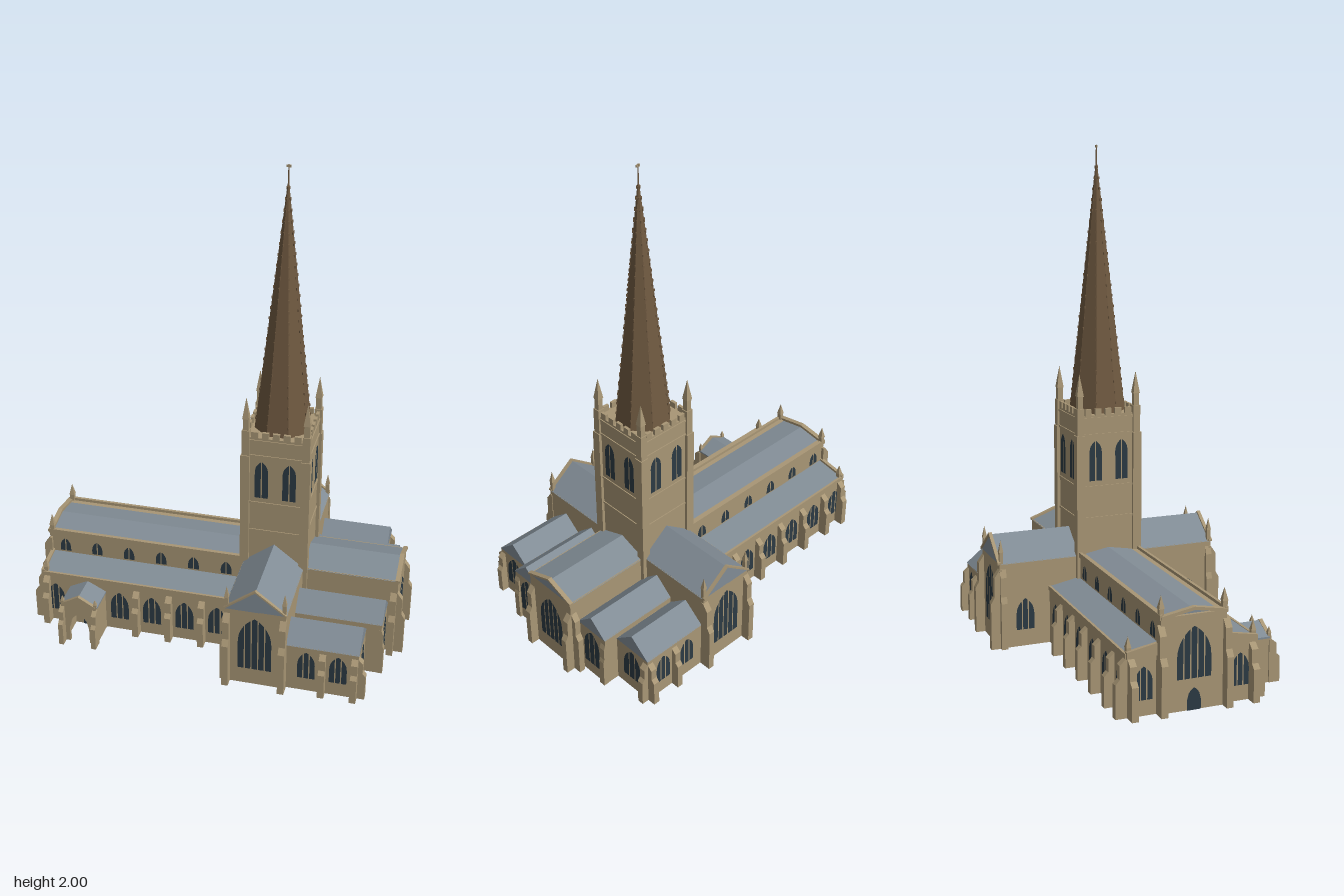
import * as THREE from 'three';

const mat = (name, color, side = THREE.FrontSide) => {
  const m = new THREE.MeshStandardMaterial({ color, side });
  m.name = name;
  return m;
};

export function createModel() {
  const stone = mat('stone', 0xa89675);
  const slate = mat('slate', 0x818c95);
  const spireBrown = mat('spireBrown', 0x705a41);
  const glass = mat('glass', 0x2c3a44, THREE.DoubleSide);

  // Local axes: x runs west to east, z to the south, tower at the origin
  const church = new THREE.Group();
  church.name = 'church';
  const HALF = Math.PI / 2;
  const S = 0, E = HALF, N = Math.PI, W = -HALF; // facing directions

  const add = (name, geo, m, x = 0, y = 0, z = 0, ry = 0) => {
    const mesh = new THREE.Mesh(geo, m);
    mesh.name = name;
    mesh.position.set(x, y, z);
    mesh.rotation.y = ry;
    church.add(mesh);
    return mesh;
  };
  const block = (name, x0, x1, y0, y1, z0, z1, m = stone) =>
    add(name, new THREE.BoxGeometry(x1 - x0, y1 - y0, z1 - z0), m, (x0 + x1) / 2, (y0 + y1) / 2, (z0 + z1) / 2);
  const shapeOf = pts => new THREE.Shape(pts.map(p => new THREE.Vector2(p[0], p[1])));
  const extrude = (pts, depth) => new THREE.ExtrudeGeometry(shapeOf(pts), { depth, bevelEnabled: false });
  // Cross-section given as (z, y), swept from x0 to x1
  const sweepX = (name, pts, x0, x1, m) =>
    add(name, extrude(pts.map(([z, y]) => [-z, y]), x1 - x0).rotateY(HALF), m, x0);
  // Cross-section given as (x, y), swept from z0 to z1
  const sweepZ = (name, pts, z0, z1, m) => add(name, extrude(pts, z1 - z0), m, 0, 0, z0);
  const gable = (c, half, eaves, ridge) => [[c - half, eaves], [c + half, eaves], [c, ridge]];
  // Thin raked strip following a gable
  const rake = (c, half, eaves, ridge, t) => [
    [c - half, eaves], [c, ridge], [c + half, eaves], [c + half, eaves + t], [c, ridge + t], [c - half, eaves + t]];

  // Pointed-arch window: dark lights separated by stone mullions
  const archRise = (x, a) => Math.sqrt(Math.max(0, 4 * a * a - (Math.abs(x) + a) ** 2));
  const window_ = (name, x, z, dir, y0, y1, width, lights) => {
    const a = width / 2, spring = y1 - a * Math.sqrt(3), pitch = width / lights, gap = 0.005;
    const shapes = [];
    for (let i = 0; i < lights; i++) {
      const l = -a + i * pitch + (i ? gap / 2 : 0);
      const r = -a + (i + 1) * pitch - (i < lights - 1 ? gap / 2 : 0);
      const pts = [[l, y0], [r, y0]];
      for (let k = 0; k <= 8; k++) {
        const px = r + (l - r) * k / 8;
        pts.push([px, spring + archRise(px, a) + (k === 0 || k === 8 ? 0.0005 : 0)]);
      }
      shapes.push(shapeOf(pts));
    }
    add(name, new THREE.ShapeGeometry(shapes), glass, x + Math.sin(dir) * 0.003, 0, z + Math.cos(dir) * 0.003, dir);
  };

  // Stepped buttress with sloping tops
  const buttress = (x, z, dir, h, d = 0.04, width = 0.026) => {
    const pts = [[-0.01, 0], [d, 0], [d, h * 0.58], [d * 0.6, h * 0.66], [d * 0.6, h * 0.9], [0, h], [-0.01, h]];
    add('buttress', extrude(pts, width).translate(0, 0, -width / 2).rotateY(-HALF), stone, x, 0, z, dir);
  };
  const pinnacle = (x, z, y0, shaft, cone, r) => {
    add('pinnacleShaft', new THREE.BoxGeometry(r * 1.5, shaft, r * 1.5), stone, x, y0 + shaft / 2, z);
    add('pinnacleTip', new THREE.ConeGeometry(r * 1.3, cone, 4).rotateY(Math.PI / 4).toNonIndexed(), stone,
      x, y0 + shaft + cone / 2, z).geometry.computeVertexNormals();
  };

  // Nave and aisles
  block('naveWalls', -0.968, -0.1, 0, 0.358, -0.128, 0.128);
  sweepX('naveRoof', gable(0, 0.124, 0.354, 0.376), -0.955, -0.1, slate);
  sweepX('westCoping', rake(0, 0.13, 0.352, 0.375, 0.012), -0.975, -0.955, stone);
  block('aisleWalls', -0.955, -0.1, 0, 0.232, -0.255, 0.255);
  for (const s of [-1, 1]) {
    block('naveParapet', -0.97, -0.12, 0.35, 0.37, s * 0.128 - 0.006, s * 0.128 + 0.006);
    sweepX('aisleRoof', [[s * 0.25, 0.228], [s * 0.12, 0.228], [s * 0.12, 0.263], [s * 0.25, 0.238]], -0.953, -0.11, slate);
    block('aisleParapet', -0.957, -0.12, 0.222, 0.24, s * 0.255 - 0.005, s * 0.255 + 0.005);
    sweepX('aisleEndCoping', [[s * 0.257, 0.222], [s * 0.12, 0.222], [s * 0.12, 0.272], [s * 0.257, 0.247]], -0.965, -0.95, stone);
    const dir = s > 0 ? S : N;
    for (let i = 0; i < 6; i++) {
      const x = -0.905 + i * 0.14;
      if (!(s > 0 && i === 1)) window_('aisleWindow', x, s * 0.255, dir, 0.055, 0.186, 0.078, 3);
      window_('clerestoryWindow', x + 0.006, s * 0.128, dir, 0.27, 0.33, 0.046, 2);
      if (i < 5 && !(s > 0 && i < 2)) buttress(x + 0.075, s * 0.255, dir, 0.205);
    }
    // West end corners
    buttress(-0.94, s * 0.255, dir, 0.22);
    buttress(-0.955, s * 0.238, W, 0.22, 0.045);
    buttress(-0.966, s * 0.128, W, 0.33, 0.04);
    pinnacle(-0.945, s * 0.245, 0.23, 0.03, 0.04, 0.011);
    pinnacle(-0.955, s * 0.124, 0.36, 0.03, 0.05, 0.012);
    window_('westAisleWindow', -0.955, s * 0.19, W, 0.06, 0.185, 0.07, 3);
  }
  window_('westWindow', -0.968, 0, W, 0.12, 0.315, 0.135, 5);
  window_('westDoor', -0.968, 0, W, 0, 0.085, 0.055, 1);

  // South porch, open at the front
  const px = -0.762;
  const opening = [];
  for (let k = 0; k <= 10; k++) {
    const x = -0.042 + 0.084 * k / 10;
    opening.push([px + x, 0.068 + archRise(x, 0.042)]);
  }
  sweepZ('porchFront', [[px - 0.075, 0], [px - 0.042, 0], ...opening, [px + 0.042, 0], [px + 0.075, 0],
    [px + 0.075, 0.182], [px, 0.225], [px - 0.075, 0.182]], 0.365, 0.38, stone);
  for (const s of [-1, 1]) {
    block('porchSide', px + s * 0.068 - 0.007, px + s * 0.068 + 0.007, 0, 0.18, 0.25, 0.37);
    buttress(px + s * 0.07, 0.38, S, 0.17, 0.035, 0.02);
    pinnacle(px + s * 0.07, 0.372, 0.175, 0.02, 0.025, 0.008);
  }
  sweepZ('porchRoof', rake(px, 0.078, 0.174, 0.214, 0.007), 0.25, 0.372, slate);
  window_('porchDoor', px, 0.255, S, 0, 0.095, 0.052, 1);

  // Transepts
  block('transeptWalls', -0.123, 0.123, 0, 0.352, -0.465, 0.465);
  for (const s of [-1, 1]) {
    const dir = s > 0 ? S : N, z = s * 0.465;
    sweepZ('transeptRoof', gable(0, 0.125, 0.35, 0.445), Math.min(s * 0.1, z), Math.max(s * 0.1, z), slate);
    sweepZ('transeptCoping', rake(0, 0.125, 0.35, 0.445, 0.008), z - 0.008, z + 0.006, stone);
    window_('transeptWindow', 0, z, dir, 0.075, 0.32, 0.135, 5);
    window_('transeptWestWindow', -0.123, s * 0.36, W, 0.07, 0.2, 0.075, 3);
    for (const t of [-1, 1]) {
      buttress(t * 0.113, z, dir, 0.33, 0.038);
      pinnacle(t * 0.115, z - s * 0.008, 0.35, 0.05, 0.05, 0.01);
    }
    buttress(-0.123, s * 0.452, W, 0.33, 0.02);

    // Paired eastern chapels
    const chapels = [[0.365, 0.088, 0.41, 0.21, 0.282, 0.095], [0.2, 0.077, 0.472, 0.238, 0.305, 0.088]];
    for (const [c, half, end, eaves, ridge, win] of chapels) {
      block('chapelWalls', 0.1, end, 0, eaves, s * c - half, s * c + half);
      sweepX('chapelRoof', gable(s * c, half + 0.002, eaves - 0.002, ridge), 0.1, end + 0.002, slate);
      window_('chapelEastWindow', end, s * c, E, 0.056, eaves - 0.012, win, 3);
    }
    for (const x of [0.205, 0.332]) window_('chapelSideWindow', x, s * 0.453, dir, 0.062, 0.188, 0.07, 3);
    buttress(0.27, s * 0.453, dir, 0.19, 0.034);
    buttress(0.397, s * 0.453, dir, 0.19, 0.034);
    buttress(0.41, s * 0.44, E, 0.19, 0.03);
    buttress(0.472, s * 0.265, E, 0.21, 0.012);

    // Chancel corners
    buttress(0.51, s * 0.112, E, 0.29, 0.035);
    buttress(0.495, s * 0.123, dir, 0.29, 0.035);
  }

  // Chancel
  block('chancelWalls', 0.1, 0.51, 0, 0.348, -0.123, 0.123);
  sweepX('chancelRoof', gable(0, 0.125, 0.346, 0.392), 0.1, 0.511, slate);
  sweepX('chancelCoping', rake(0, 0.128, 0.344, 0.392, 0.009), 0.498, 0.516, stone);
  window_('chancelWindow', 0.51, 0, E, 0.075, 0.292, 0.132, 5);

  // Tower with corner piers, string courses and battlements
  block('towerWalls', -0.127, 0.127, 0, 0.93, -0.127, 0.127);
  for (const y of [0.5, 0.63, 0.845, 0.912]) block('stringCourse', -0.131, 0.131, y, y + 0.009, -0.131, 0.131);
  for (const sx of [-1, 1]) for (const sz of [-1, 1]) {
    add('cornerPierLower', new THREE.BoxGeometry(0.036, 0.85, 0.036), stone, sx * 0.122, 0.425, sz * 0.122);
    add('cornerPierUpper', new THREE.BoxGeometry(0.03, 0.12, 0.03), stone, sx * 0.121, 0.9, sz * 0.121);
    pinnacle(sx * 0.121, sz * 0.121, 0.95, 0.06, 0.09, 0.015);
  }
  for (const dir of [S, E, N, W]) {
    const out = new THREE.Vector2(Math.sin(dir), Math.cos(dir));
    for (const t of [-0.056, 0.056])
      window_('belfryWindow', out.x * 0.127 + out.y * t, out.y * 0.127 - out.x * t, dir, 0.66, 0.825, 0.054, 2);
    for (let i = -2; i <= 2; i++)
      add('merlon', new THREE.BoxGeometry(0.027, 0.026, 0.012), stone,
        out.x * 0.123 + out.y * i * 0.043, 0.942, out.y * 0.123 - out.x * i * 0.043, dir);
  }

  // Octagonal spire with small crockets up each edge
  const R = 0.114, base = 0.928, top = 1.955;
  const spire = new THREE.ConeGeometry(R, top - base, 8).rotateY(Math.PI / 8).toNonIndexed();
  spire.computeVertexNormals();
  add('spire', spire, spireBrown, 0, (base + top) / 2, 0);
  for (let e = 0; e < 8; e++) {
    const a = Math.PI / 8 + e * Math.PI / 4;
    for (let k = 1; k < 24; k++) {
      const r = R * (1 - k / 24);
      add('crocket', new THREE.BoxGeometry(0.005, 0.01, 0.005), spireBrown,
        Math.sin(a) * r, base + (top - base) * k / 24, Math.cos(a) * r, a);
    }
  }
  add('finialRod', new THREE.CylinderGeometry(0.002, 0.003, 0.07, 6), spireBrown, 0, 1.965, 0);
  add('weatherVane', new THREE.BoxGeometry(0.018, 0.009, 0.004), stone, 0, 1.9935, 0);

  church.position.x = 0.235;
  church.rotation.y = -0.06;
  const model = new THREE.Group();
  model.name = 'churchModel';
  model.add(church);
  return model;
}
